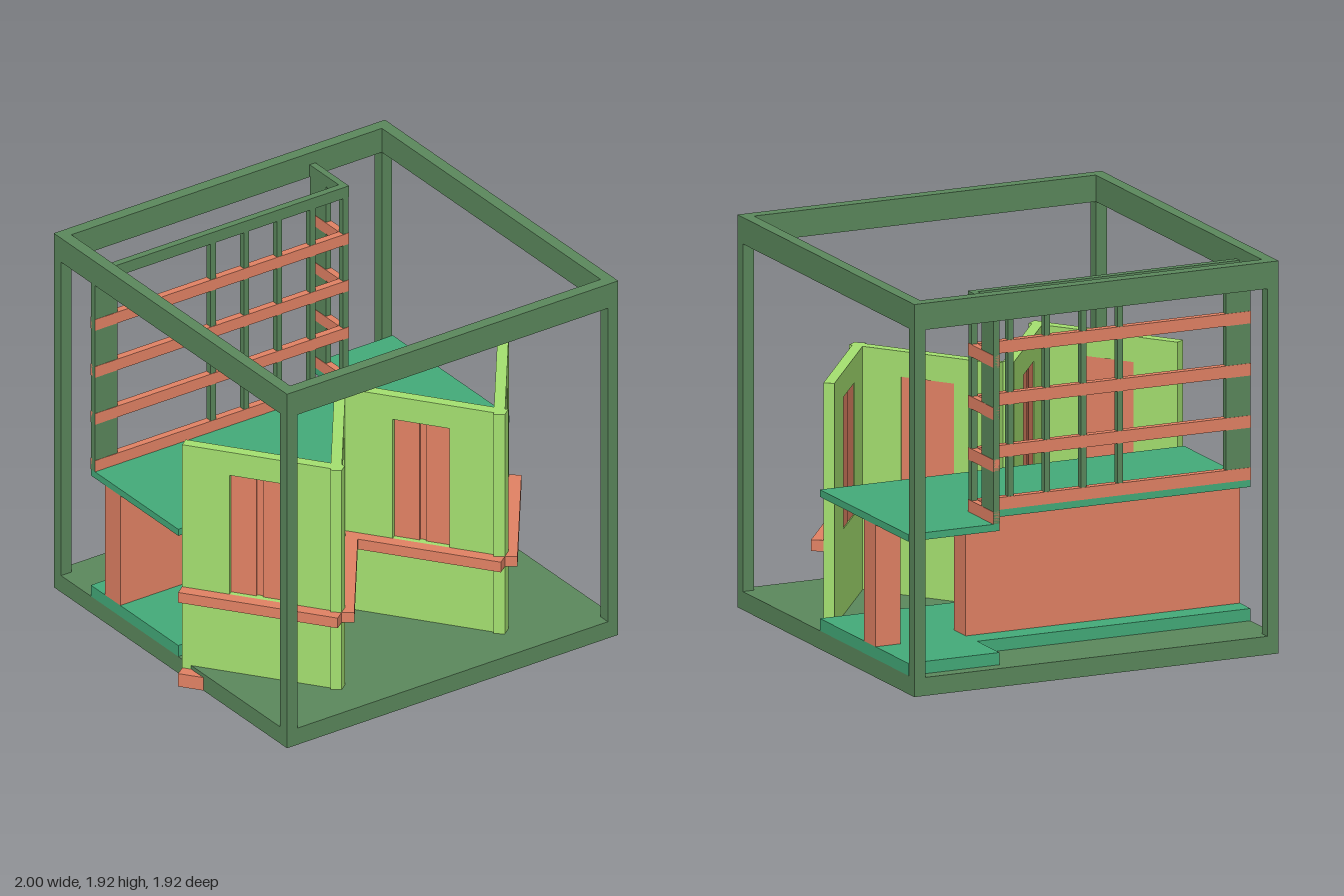
import * as THREE from 'three';

const mat = (color) => new THREE.MeshStandardMaterial({ color });
const frameGreen = mat(0x5b885c);
const teal = mat(0x43ab79);
const lime = mat(0xa4e070);
const orange = mat(0xe28264);

// Axis-aligned box given by its extents
function block(parent, name, material, [x0, x1], [y0, y1], [z0, z1]) {
  const mesh = new THREE.Mesh(new THREE.BoxGeometry(x1 - x0, y1 - y0, z1 - z0), material);
  mesh.position.set((x0 + x1) / 2, (y0 + y1) / 2, (z0 + z1) / 2);
  mesh.name = name;
  parent.add(mesh);
  return mesh;
}

function group(parent, name) {
  const g = new THREE.Group();
  g.name = name;
  parent.add(g);
  return g;
}

const X0 = -0.92, X1 = 1.0, Z = 0.96, H = 1.92, T = 0.06;

// Open cube: floor slab, corner posts and top beams
function buildFrame(root) {
  const g = group(root, 'frame');
  block(g, 'floor', frameGreen, [X0, X1], [0, 0.09], [-Z, Z]);
  for (const x of [X0, X1 - T]) {
    for (const z of [-Z, Z - T]) block(g, 'cornerPost', frameGreen, [x, x + T], [0.09, 1.79], [z, z + T]);
    block(g, 'sideBeam', frameGreen, [x, x + T], [1.79, H], [-Z, Z]);
  }
  for (const z of [-Z, Z - T]) block(g, 'crossBeam', frameGreen, [X0 + T, X1 - T], [1.79, H], [z, z + T]);
}

// L-shaped slab, notched at the back for the stairwell
function buildSlab(root, name, y0, y1) {
  const s = new THREE.Shape();
  [[X0, -0.065], [X1, -0.065], [X1, 0.895], [0.52, 0.895], [0.52, 0.655], [X0, 0.655]]
    .forEach(([x, y], i) => (i ? s.lineTo(x, y) : s.moveTo(x, y)));
  const geo = new THREE.ExtrudeGeometry(s, { depth: y1 - y0, bevelEnabled: false });
  geo.rotateX(-Math.PI / 2);
  const mesh = new THREE.Mesh(geo, teal);
  mesh.position.y = y0;
  mesh.name = name;
  root.add(mesh);
}

// Shelf-like railing around the notch
function buildRailing(root) {
  const g = group(root, 'railing');
  const top = 1.86, base = 0.78, zr = [-0.655, -0.622], xr = [0.52, 0.55];
  for (let i = 0; i < 5; i++) {
    const x = 0.52 - i * 0.192;
    block(g, 'thinPost', frameGreen, [x, x + 0.03], [base, top], zr);
  }
  block(g, 'widePost', frameGreen, [X0, -0.79], [base, top], zr);
  block(g, 'widePost', frameGreen, xr, [base, top], [-0.895, -0.765]);
  const e = 0.002;
  for (let i = 0; i < 5; i++) {
    const y = base + i * 0.255;
    const m = i < 4 ? orange : frameGreen;
    block(g, 'longRail', m, [X0, 0.55 + e], [y, y + 0.06], [zr[0] - e, zr[1] + e]);
    block(g, 'shortRail', m, [xr[0] - e, xr[1] + e], [y, y + 0.06], [-0.895, zr[0] - e]);
  }
}

// One folding-screen panel, local x along the panel and z to its front
function buildPanel(root, [ax, az], [bx, bz], shift) {
  const g = group(root, 'screenPanel');
  const L = Math.hypot(bx - ax, bz - az), t = 0.053;
  g.position.set(ax, 0, az);
  g.rotation.y = Math.atan2(az - bz, bx - ax);

  const c = L / 2 + shift, w = 0.142, y0 = 0.51, y1 = 1.155;
  const s = new THREE.Shape();
  s.moveTo(0, 0).lineTo(L, 0).lineTo(L, 1.28).lineTo(0, 1.28);
  const hole = new THREE.Path();
  hole.moveTo(c - w, y0).lineTo(c - w, y1).lineTo(c + w, y1).lineTo(c + w, y0);
  s.holes.push(hole);
  const wall = new THREE.Mesh(new THREE.ExtrudeGeometry(s, { depth: t, bevelEnabled: false }), lime);
  wall.position.z = -t;
  wall.name = 'panelWall';
  g.add(wall);

  // Recessed shutters with a sunken strip between them
  block(g, 'shutter', orange, [c - w, c - 0.016], [y0, y1], [-0.048, -0.025]);
  block(g, 'shutter', orange, [c + 0.016, c + w], [y0, y1], [-0.048, -0.025]);
  block(g, 'shutterStrip', orange, [c - 0.016, c + 0.016], [y0, y1], [-0.046, -0.037]);

  block(g, 'ledge', orange, [0, L], [0.455, 0.51], [0, 0.06]);
  block(g, 'skirting', orange, [0, L], [0, 0.07], [0, 0.06]);
}

export function createModel() {
  const root = new THREE.Group();
  root.name = 'framedRoom';
  buildFrame(root);
  buildSlab(root, 'lowerPlatform', 0.09, 0.15);
  buildSlab(root, 'upperPlatform', 0.745, 0.78);
  buildRailing(root);

  // Supports between the platforms
  block(root, 'supportWall', orange, [X0, 0.525], [0.15, 0.745], [-0.54, -0.412]);
  block(root, 'supportPost', orange, [0.87, X1], [0.15, 0.745], [-0.54, -0.412]);

  // Zigzag folding screen
  const screen = group(root, 'foldingScreen');
  const pts = [[-0.947, 0.135], [-0.473, 0.775], [0, 0.135], [0.473, 0.775], [0.947, 0.135]];
  for (let i = 0; i < 4; i++) buildPanel(screen, pts[i], pts[i + 1], i % 2 ? 0.02 : -0.02);
  return root;
}
